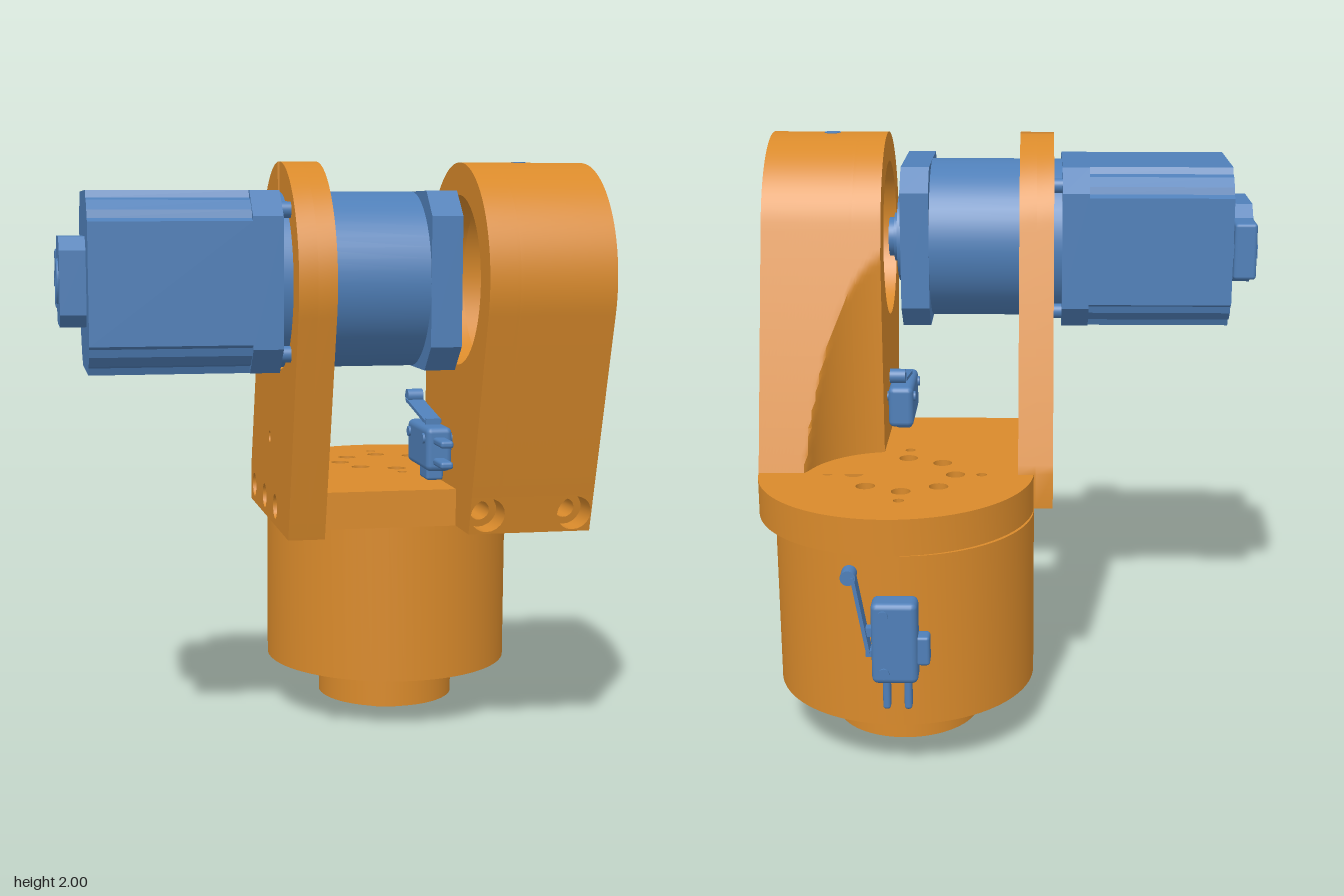
import * as THREE from 'three';
import { toCreasedNormals } from 'three/addons/utils/BufferGeometryUtils.js';
import { RoundedBoxGeometry } from 'three/addons/geometries/RoundedBoxGeometry.js';

const orange = new THREE.MeshStandardMaterial({ color: 0xd98a2b });
const blue = new THREE.MeshStandardMaterial({ color: 0x4f7fb8 });
const V = (x, y) => new THREE.Vector2(x, y);
const AX_Y = 1.615, AX_Z = 0.4, ARM_R = 0.385;   // motor axis and arm head
const BASE_X = 0.36, BASE_Z = -0.245;            // turning axis
const LEAN = 0.26;                               // slope of the arm's front face

function add(parent, name, geo, mat, x = 0, y = 0, z = 0) {
  const m = new THREE.Mesh(geo, mat);
  m.name = name;
  m.position.set(x, y, z);
  parent.add(m);
  return m;
}

// Points on a circle from angle a to b
function arc(cx, cy, r, a, b, n = 48) {
  return Array.from({ length: n + 1 }, (_, i) => {
    const t = a + (b - a) * i / n;
    return V(cx + r * Math.cos(t), cy + r * Math.sin(t));
  });
}
function shapeWith(points, holes = []) {
  const s = new THREE.Shape(points);
  for (const [x, y, r] of holes) s.holes.push(new THREE.Path(arc(x, y, r, 0, Math.PI * 2, r > 0.1 ? 64 : 20).slice(0, -1)));
  return s;
}
const extrude = (shape, depth, steps = 1) => new THREE.ExtrudeGeometry(shape, { depth, steps, bevelEnabled: false });
// Shape drawn in (-z, y), extruded from x0 to x1
const alongX = (shape, x0, x1, steps) => extrude(shape, x1 - x0, steps).rotateY(Math.PI / 2).translate(x0, 0, 0);
const crease = (g) => toCreasedNormals(g, 0.5);
const rodX = (r, len) => new THREE.CylinderGeometry(r, r, len, 48).rotateZ(-Math.PI / 2);

// Teardrop arm outline in (-z, y); 'foot' is its lowest height, 'bore' makes a split clamp
function armOutline(foot, bore = 0) {
  const c = V(-AX_Z, AX_Y), front = V(-0.58, 0.79), back = V(0.24, 0.915);
  const tangent = (p, side) => {
    const d = p.clone().sub(c);
    return Math.atan2(d.y, d.x) + side * Math.acos(ARM_R / d.length());
  };
  const a0 = tangent(back, 1), a1 = tangent(front, -1) + Math.PI * 2;
  const top = V(c.x + ARM_R * Math.cos(a0), c.y + ARM_R * Math.sin(a0));
  const pts = [V(-0.58 - LEAN * (foot - 0.79), foot)];
  if (foot < 0.915) pts.push(V(0.24, foot));
  for (let i = 0; i < 28; i++) pts.push(back.clone().lerp(top, i / 28));
  if (!bore) return pts.concat(arc(c.x, c.y, ARM_R, a0, a1));
  const h = Math.PI / 2, g = 0.0175;
  return pts.concat(
    arc(c.x, c.y, ARM_R, a0, h - g / ARM_R, 20),
    arc(c.x, c.y, bore, h - g / bore, h + g / bore - Math.PI * 2, 64),
    arc(c.x, c.y, ARM_R, h + g / ARM_R, a1, 30));
}

function buildBase(root) {
  // Hollow drum with a stepped output hub underneath
  const profile = [[0, 0], [0.125, 0], [0.125, 0.04], [0.25, 0.04], [0.25, 0.4], [0.37, 0.4], [0.37, 0.19],
    [0.445, 0.19], [0.445, 0.79], [0, 0.79]].map(([r, y]) => V(r, y));
  add(root, 'baseDrum', crease(new THREE.LatheGeometry(profile, 96)), orange, BASE_X, 0, BASE_Z);

  // Turntable plate, round at the back
  const cx = 0.39, cz = 0.215, r = 0.475;
  const a = Math.asin(0.03 / r);
  const pts = [V(-0.03, -0.42), V(0.45, -0.42), V(0.45, 0.245), ...arc(cx, cz, r, a, Math.PI - a, 64), V(-0.03, 0.245)];
  const holes = [];
  for (let i = 0; i < 8; i++) {
    const t = i * Math.PI / 4;
    holes.push([BASE_X + 0.175 * Math.cos(t), -BASE_Z + 0.175 * Math.sin(t), 0.033]);
    if (i % 2 === 0) holes.push([BASE_X + 0.265 * Math.cos(t), -BASE_Z + 0.265 * Math.sin(t), 0.018]);
  }
  const plate = extrude(shapeWith(pts, holes), 0.125).rotateX(-Math.PI / 2);
  add(root, 'turntablePlate', crease(plate), orange, 0, 0.79, 0);
}

function buildArms(root) {
  // Clamp arm around the motor, with counterbored screw holes in its foot
  const clamp = new THREE.Group();
  clamp.name = 'clampArm';
  root.add(clamp);
  [[-0.15, -0.09, 0.042], [-0.09, -0.03, 0.025]].forEach(([x0, x1, r]) => {
    const holes = [-0.16, 0.08, 0.31].map((z) => [-z, 0.855, r]).concat([[-0.2, 1.08, 0.02]]);
    add(clamp, 'clampLayer', crease(alongX(shapeWith(armOutline(0.79, 0.287), holes), x0, x1)), orange);
  });

  // Thick bearing arm: inner lip and wider outer bore, scooped around the turning axis
  const bearing = new THREE.Group();
  bearing.name = 'bearingArm';
  root.add(bearing);
  [[0.45, 0.55, 0.28, 8], [0.55, 0.865, 0.315, 26]].forEach(([x0, x1, r, steps]) => {
    const g = alongX(shapeWith(armOutline(0.915), [[-AX_Z, AX_Y, r]]), x0, x1, steps);
    const p = g.attributes.position;
    for (let i = 0; i < p.count; i++) {
      const w = 0.31 * 0.31 - (p.getX(i) - 0.4) ** 2;
      if (w > 0) p.setZ(i, Math.max(p.getZ(i), -0.31 + Math.sqrt(w)));
    }
    add(bearing, 'bearingLayer', crease(g), orange);
  });
  // Foot block with two counterbored holes, front face leaning with the arm
  const rect = [V(0.45, 0.79), V(0.865, 0.79), V(0.865, 0.915), V(0.45, 0.915)];
  [[-0.245, 0.3, 0], [0.3, 0.48, 0.033], [0.48, 0.58, 0.058]].forEach(([z0, z1, r]) => {
    const g = extrude(shapeWith(rect, r ? [[0.51, 0.854, r], [0.805, 0.854, r]] : []), z1 - z0).translate(0, 0, z0);
    const p = g.attributes.position;
    for (let i = 0; i < p.count; i++) if (p.getZ(i) > 0) p.setZ(i, p.getZ(i) + LEAN * (p.getY(i) - 0.79));
    add(bearing, 'bearingFoot', crease(g), orange);
  });
  add(bearing, 'setScrew', new THREE.CylinderGeometry(0.03, 0.03, 0.05, 24), blue, 0.65, 1.976, AX_Z);
}

function buildMotor(root) {
  const motor = new THREE.Group();
  motor.name = 'motor';
  motor.position.set(0, 1.62, 0.397);
  root.add(motor);
  // Square section with the same corner repeated four times
  const square = (corner) => new THREE.Shape([0, 1, 2, 3].flatMap((k) =>
    corner.map(([x, y]) => V(x, y).rotateAround(V(0, 0), k * Math.PI / 2))));
  const notched = square([[0.285, 0.19], [0.262, 0.2], [0.255, 0.225], [0.225, 0.255], [0.2, 0.262], [0.19, 0.285]]);
  const chamfered = square([[0.285, 0.205], [0.205, 0.285]]);
  add(motor, 'motorBody', crease(alongX(notched, -0.78, -0.275)), blue);
  add(motor, 'motorFlange', crease(alongX(chamfered, -0.275, -0.18)), blue);
  add(motor, 'gearbox', rodX(0.285, 0.48), blue, 0.06);
  add(motor, 'gearboxFlange', crease(alongX(chamfered, 0.29, 0.39)), blue);
  add(motor, 'pilot', rodX(0.16, 0.03), blue, 0.398);
  add(motor, 'shaftCollar', rodX(0.088, 0.02), blue, 0.42);
  add(motor, 'shaft', rodX(0.07, 0.06), blue, 0.42);
  // Flange bolts
  for (const sy of [-1, 1]) for (const sz of [-1, 1])
    add(motor, 'flangeBolt', rodX(0.026, 0.04), blue, -0.17, sy * 0.225, sz * 0.225);
  // Rear encoder cap and its plug
  const cap = new THREE.Shape([V(-0.153, -0.1), V(-0.11, -0.14), V(0.11, -0.14), V(0.153, -0.1),
    V(0.153, 0.1), V(0.11, 0.143), V(-0.11, 0.143), V(-0.153, 0.1)]);
  add(motor, 'encoderCap', crease(alongX(cap, -0.862, -0.78)), blue);
  add(motor, 'encoderRing', new THREE.TorusGeometry(0.065, 0.008, 8, 32).rotateY(Math.PI / 2), blue, -0.862);
  add(motor, 'plug', new RoundedBoxGeometry(0.08, 0.2, 0.13, 2, 0.012), blue, -0.825, 0, -0.212);
  add(motor, 'plugLatch', new THREE.BoxGeometry(0.085, 0.05, 0.1), blue, -0.825, 0, -0.215);
}

// Lever switch: lever on +x with its roller at the top, terminals at the bottom
function leverSwitch(name) {
  const g = new THREE.Group();
  g.name = name;
  add(g, 'switchBody', new RoundedBoxGeometry(0.15, 0.28, 0.09, 2, 0.02), blue);
  add(g, 'sideTab', new RoundedBoxGeometry(0.05, 0.1, 0.06, 2, 0.01), blue, -0.088, -0.03);
  for (const x of [-0.04, 0.03]) add(g, 'terminal', new RoundedBoxGeometry(0.025, 0.13, 0.045, 2, 0.01), blue, x, -0.175);
  for (const y of [-0.1, 0.1])
    add(g, 'mountingPin', new THREE.CylinderGeometry(0.018, 0.018, 0.105, 20).rotateX(Math.PI / 2), blue, 0.035, y);
  add(g, 'button', new THREE.BoxGeometry(0.03, 0.03, 0.03), blue, 0.085, 0.03);
  const lever = add(g, 'lever', new THREE.BoxGeometry(0.012, 0.27, 0.06), blue, 0.108, 0.09);
  lever.rotation.z = -0.17;
  add(g, 'leverFoot', new THREE.BoxGeometry(0.03, 0.02, 0.05), blue, 0.08, -0.04);
  add(g, 'roller', new THREE.CylinderGeometry(0.025, 0.025, 0.055, 24).rotateX(Math.PI / 2), blue, 0.145, 0.222);
  return g;
}

export function createModel() {
  const root = new THREE.Group();
  root.name = 'motorisedJoint';
  buildBase(root);
  buildArms(root);
  buildMotor(root);

  const rear = leverSwitch('rearSwitch');
  rear.position.set(0.36, 0.52, -0.735);
  const inner = leverSwitch('innerSwitch');
  inner.applyMatrix4(new THREE.Matrix4().makeBasis(
    new THREE.Vector3(0, 1, 0), new THREE.Vector3(0, 0, -1), new THREE.Vector3(-1, 0, 0)));
  inner.position.set(0.4, 1.045, 0.25);
  root.add(rear, inner);
  return root;
}
